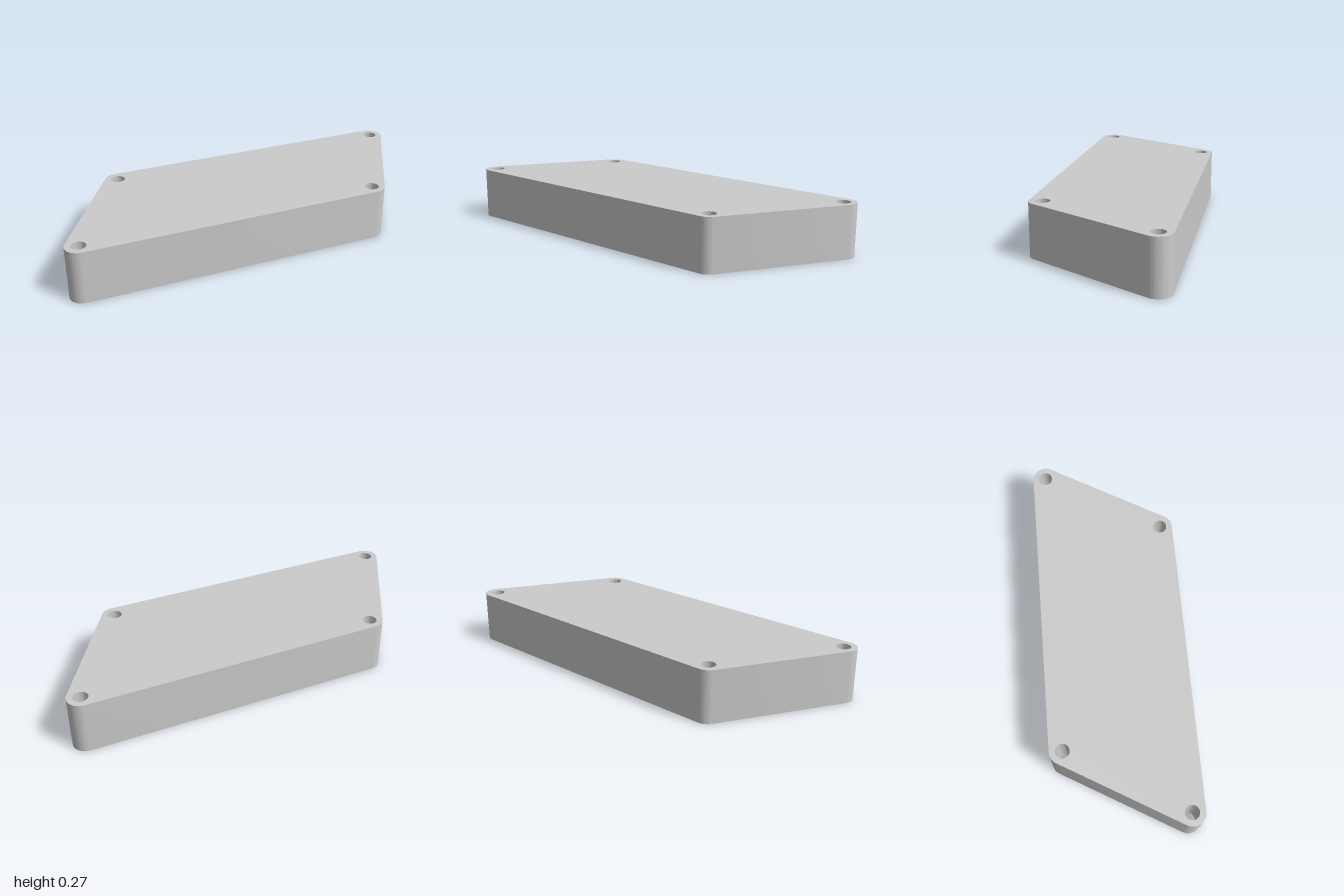
import * as THREE from 'three';
import { toCreasedNormals } from 'three/addons/utils/BufferGeometryUtils.js';

const HEIGHT = 0.268;
const CORNER_RADIUS = 0.066;
const HOLE_RADIUS = 0.036;

// Corner centres of the slanted plate, with the start and end angle of each rounding
const CORNERS = [
  [0.59, -0.298, -90, -30],
  [0.934, 0.298, -30, 90],
  [-0.59, 0.298, 90, 150],
  [-0.934, -0.298, 150, 270],
];

export function createModel() {
  const group = new THREE.Group();
  group.name = 'slantedBlock';

  // Rounded parallelogram with a through hole concentric with every corner
  const outline = new THREE.Shape();
  for (const [x, y, start, end] of CORNERS) {
    outline.absarc(x, y, CORNER_RADIUS, THREE.MathUtils.degToRad(start), THREE.MathUtils.degToRad(end), false);
    const hole = new THREE.Path();
    hole.absarc(x, y, HOLE_RADIUS, 0, Math.PI * 2, true);
    outline.holes.push(hole);
  }
  outline.closePath();

  // Extrude upward; smooth the roundings and bores, keep the rims sharp
  const solid = new THREE.ExtrudeGeometry(outline, { depth: HEIGHT, bevelEnabled: false, curveSegments: 16 });
  solid.rotateX(-Math.PI / 2);
  const block = new THREE.Mesh(
    toCreasedNormals(solid, Math.PI / 6),
    new THREE.MeshStandardMaterial({ color: 0xcccccc })
  );
  block.name = 'blockWithCornerHoles';
  group.add(block);
  return group;
}
